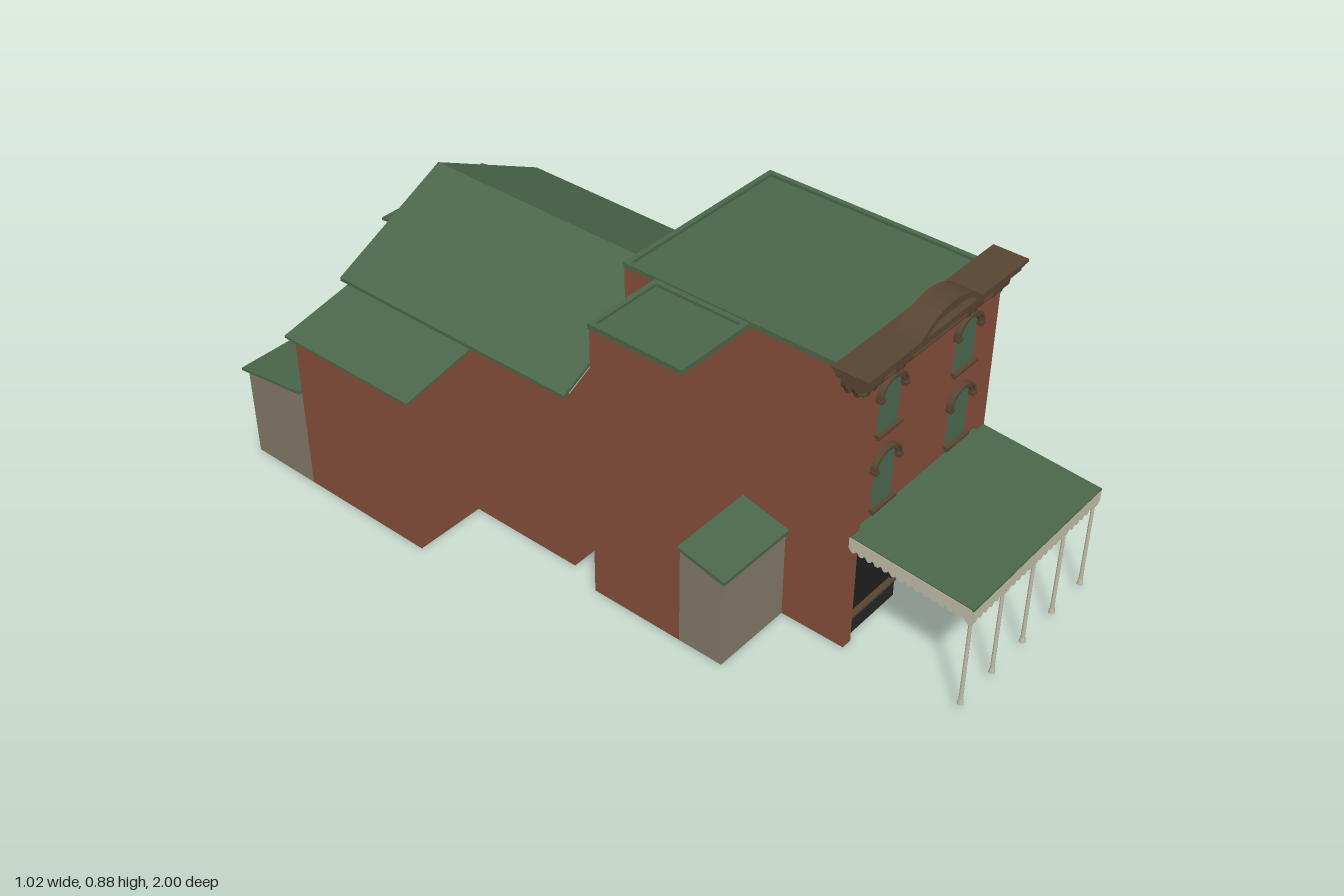
import * as THREE from 'three';

const flat = (name, color, double) => {
  const m = new THREE.MeshStandardMaterial({ color });
  m.name = name;
  if (double) m.side = THREE.DoubleSide;
  return m;
};

export function createModel() {
  const root = new THREE.Group();
  root.name = 'storefrontBuilding';
  const brick = flat('brick', 0x864f3c, true);
  const plaster = flat('plaster', 0x847b69, true);
  const green = flat('greenRoof', 0x4b674a);
  const paneGreen = flat('windowGreen', 0x4b6a50);
  const brown = flat('brownTrim', 0x594533);
  const black = flat('blackFront', 0x262626, true);
  const glass = flat('darkGlass', 0x1f1f1f, true);
  const cream = flat('cream', 0xc3bfa9);

  const add = (name, geo, mat, parent = root) => {
    const mesh = new THREE.Mesh(geo, mat);
    mesh.name = name;
    parent.add(mesh);
    return mesh;
  };
  const group = (name) => {
    const g = new THREE.Group();
    g.name = name;
    root.add(g);
    return g;
  };
  const boxGeo = (x0, x1, y0, y1, z0, z1) =>
    new THREE.BoxGeometry(x1 - x0, y1 - y0, z1 - z0).translate((x0 + x1) / 2, (y0 + y1) / 2, (z0 + z1) / 2);
  const box = (name, mat, b, parent) => add(name, boxGeo(...b), mat, parent);
  // Lifts every vertex by a height rule
  const lift = (geo, yAt) => {
    const p = geo.attributes.position;
    for (let i = 0; i < p.count; i++) p.setY(i, p.getY(i) + yAt(p.getX(i), p.getZ(i)));
    geo.computeVertexNormals();
    return geo;
  };
  const slab = (name, x0, x1, z0, z1, yAt, t = 0.01) =>
    add(name, lift(boxGeo(x0, x1, -t, 0, z0, z1), yAt), green);
  const extrude = (shape, depth, z) =>
    new THREE.ExtrudeGeometry(shape, { depth, bevelEnabled: false, curveSegments: 12 }).translate(0, 0, z);
  const ramp = (a, ya, b, yb) => (v) => ya + ((v - a) / (b - a)) * (yb - ya);

  // Open-bottomed walls; corners are [x, z, top], listed counter-clockwise from above
  const walls = (name, mat, corners, closed = true) => {
    const pos = [];
    const n = corners.length;
    for (let i = 0; i < (closed ? n : n - 1); i++) {
      const [ax, az, at] = corners[i], [bx, bz, bt] = corners[(i + 1) % n];
      pos.push(ax, 0, az, bx, 0, bz, bx, bt, bz, ax, 0, az, bx, bt, bz, ax, at, az);
    }
    const geo = new THREE.BufferGeometry();
    geo.setAttribute('position', new THREE.Float32BufferAttribute(pos, 3));
    geo.computeVertexNormals();
    add(name, geo, mat);
  };
  // Flat roof with a low rim
  const rimRoof = (name, x0, x1, z0, z1, y) => {
    const g = group(name), w = 0.014;
    box('roofDeck', green, [x0, x1, y - 0.014, y - 0.008, z0, z1], g);
    for (const b of [[x0, x1, z0, z0 + w], [x0, x1, z1 - w, z1], [x0, x0 + w, z0 + w, z1 - w], [x1 - w, x1, z0 + w, z1 - w]])
      box('roofRim', green, [b[0], b[1], y - 0.008, y, b[2], b[3]], g);
  };

  // Main block and tall side block
  walls('mainWalls', brick, [[0.465, 0.65, 0.802], [0.465, -0.02, 0.802], [-0.09, -0.02, 0.802], [-0.09, 0.65, 0.802]], false);
  rimRoof('mainRoof', -0.092, 0.467, -0.022, 0.652, 0.81);
  walls('sideTowerWalls', brick, [[-0.09, 0.35, 0.798], [-0.09, 0.08, 0.798], [-0.325, 0.08, 0.798], [-0.325, 0.35, 0.798]]);
  rimRoof('sideTowerRoof', -0.328, -0.092, 0.077, 0.353, 0.806);

  // Lean-to in front of the side tower
  const shedY = ramp(0.35, 0.305, 0.49, 0.272);
  walls('shedWalls', plaster, [[-0.09, 0.48, 0.268], [-0.09, 0.35, 0.298], [-0.325, 0.35, 0.298], [-0.325, 0.48, 0.268]]);
  slab('shedRoof', -0.335, -0.09, 0.35, 0.49, (x, z) => shedY(z));

  // Rear gabled block
  walls('gableWalls', brick, [[0.4, -0.02, 0.54], [0.4, -0.77, 0.54], [0.055, -0.77, 0.712], [-0.29, -0.77, 0.54],
    [-0.29, -0.02, 0.54], [0.055, -0.02, 0.712]]);
  const gableY = (x) => 0.723 - Math.abs(x - 0.055) * 0.486;
  slab('gableRoofLeft', 0.055, 0.42, -0.795, -0.02, gableY);
  slab('gableRoofRight', -0.31, 0.055, -0.795, -0.02, gableY);

  // Low block beside the gable
  walls('lowBlockWalls', brick, [[0.465, -0.02, 0.316], [0.465, -0.365, 0.316], [0.4, -0.365, 0.316], [0.4, -0.02, 0.316]]);
  slab('lowBlockRoof', 0.4, 0.467, -0.37, -0.02, () => 0.322, 0.006);

  // Side wing
  const wingY = ramp(-0.51, 0.474, -0.31, 0.514);
  walls('wingWalls', brick, [[-0.29, -0.36, 0.513], [-0.29, -0.77, 0.513], [-0.495, -0.77, 0.472], [-0.495, -0.36, 0.472]]);
  slab('wingRoof', -0.51, -0.29, -0.79, -0.35, (x) => wingY(x), 0.007);

  // Rear annex, tall and low parts
  const tallY = ramp(-0.77, 0.523, -1, 0.488);
  walls('tallAnnexWalls', plaster, [[0.4, -0.77, 0.518], [0.4, -0.985, 0.485], [0.025, -0.985, 0.485], [0.025, -0.77, 0.518]]);
  slab('tallAnnexRoof', 0.02, 0.407, -1, -0.77, (x, z) => tallY(z), 0.008);
  const lowY = ramp(-0.77, 0.303, -1, 0.272);
  walls('lowAnnexWalls', plaster, [[0.025, -0.77, 0.298], [0.025, -0.985, 0.27], [-0.495, -0.985, 0.27], [-0.495, -0.77, 0.298]]);
  slab('lowAnnexRoof', -0.505, 0.025, -1, -0.77, (x, z) => lowY(z), 0.008);

  // Front wall with the shop opening, and corner pilasters
  const front = new THREE.Shape([[-0.09, 0], [-0.06, 0], [-0.06, 0.285], [0.435, 0.285], [0.435, 0], [0.465, 0],
    [0.465, 0.8], [-0.09, 0.8]].map((p) => new THREE.Vector2(...p)));
  add('frontWall', extrude(front, 0.01, 0.645), brick);
  for (const x of [-0.09, 0.435]) box('pilaster', brick, [x, x + 0.03, 0, 0.757, 0.645, 0.665]);

  // Shop front: display bays either side of a recessed double door
  const shop = group('shopFront');
  for (const [a, b] of [[-0.06, 0.135], [0.24, 0.435]]) {
    box('displayGlass', glass, [a, b, 0.06, 0.285, 0.638, 0.643], shop);
    box('bulkhead', black, [a, b, 0, 0.058, 0.635, 0.65], shop);
    box('displaySill', brown, [a, b, 0.058, 0.065, 0.635, 0.658], shop);
    box('displayHead', black, [a, b, 0.255, 0.285, 0.638, 0.65], shop);
    for (const x of [a, b - 0.01]) box('displayPost', black, [x, x + 0.01, 0.065, 0.255, 0.638, 0.65], shop);
    for (let i = 0; i < 2; i++) {
      const x = a + 0.012 + i * 0.09;
      box('bulkheadPanel', black, [x, x + 0.08, 0.012, 0.048, 0.65, 0.654], shop);
    }
  }
  for (const x of [0.135, 0.235]) box('doorReturn', black, [x, x + 0.005, 0, 0.285, 0.6, 0.65], shop);
  box('doorBack', black, [0.135, 0.24, 0, 0.285, 0.595, 0.6], shop);
  for (const x of [0.147, 0.191]) {
    box('doorGlass', glass, [x + 0.005, x + 0.032, 0.08, 0.225, 0.6, 0.604], shop);
    box('doorPanel', black, [x + 0.005, x + 0.032, 0.015, 0.065, 0.6, 0.606], shop);
  }
  box('doorTransom', black, [0.14, 0.235, 0.235, 0.245, 0.6, 0.61], shop);

  // Arched windows with hoods and footed sills
  const makeWindow = (cx, sill, spring) => {
    const g = group('archedWindow');
    const pane = new THREE.Shape();
    pane.moveTo(-0.038, sill);
    pane.lineTo(0.038, sill);
    pane.lineTo(0.038, spring);
    pane.absellipse(0, spring, 0.038, 0.026, 0, Math.PI, false);
    pane.lineTo(-0.038, sill);
    add('windowPane', extrude(pane, 0.004, 0.655), paneGreen, g);
    const arch = (name, ro, ry, ri, riy, leg, depth) => {
      const s = new THREE.Shape();
      s.moveTo(ro, spring - leg);
      s.lineTo(ro, spring);
      s.absellipse(0, spring, ro, ry, 0, Math.PI, false);
      s.lineTo(-ro, spring - leg);
      s.lineTo(-ri, spring - leg);
      s.lineTo(-ri, spring);
      s.absellipse(0, spring, ri, riy, Math.PI, 0, true);
      s.lineTo(ri, spring - leg);
      add(name, extrude(s, depth, 0.655), brown, g);
    };
    arch('hood', 0.05, 0.036, 0.038, 0.026, 0.014, 0.012);
    arch('hoodMoulding', 0.053, 0.041, 0.046, 0.034, 0.008, 0.017);
    for (const s of [-1, 1]) {
      const x = s * 0.047;
      box('hoodStop', brown, [x - 0.008, x + 0.008, spring - 0.014, spring - 0.004, 0.655, 0.673], g);
      box('sillFoot', brown, [s * 0.038 - 0.003, s * 0.038 + 0.003, sill - 0.018, sill - 0.007, 0.655, 0.664], g);
    }
    box('windowSill', brown, [-0.046, 0.046, sill - 0.008, sill, 0.655, 0.67], g);
    g.position.x = cx;
  };
  for (const x of [0.034, 0.342]) {
    makeWindow(x, 0.376, 0.5);
    makeWindow(x, 0.594, 0.704);
  }

  // Cornice with stepped mouldings and scrolled brackets
  const cornice = group('cornice');
  box('frieze', brown, [-0.094, 0.469, 0.755, 0.8, 0.62, 0.668], cornice);
  box('friezeBand', brown, [-0.097, 0.472, 0.755, 0.76, 0.62, 0.672], cornice);
  box('bedMoulding', brown, [-0.112, 0.487, 0.792, 0.799, 0.615, 0.683], cornice);
  box('corona', brown, [-0.122, 0.497, 0.799, 0.812, 0.612, 0.695], cornice);
  box('crown', brown, [-0.132, 0.507, 0.822, 0.83, 0.608, 0.706], cornice);
  box('crownCove', brown, [-0.127, 0.502, 0.812, 0.822, 0.61, 0.7], cornice);
  // Bracket side outline: depth outward, height
  const scroll = () => {
    const s = new THREE.Shape();
    s.moveTo(0, 0.795);
    s.lineTo(0, 0.75);
    s.lineTo(0.008, 0.75);
    s.quadraticCurveTo(0.011, 0.766, 0.02, 0.772);
    s.quadraticCurveTo(0.027, 0.778, 0.026, 0.795);
    return new THREE.ExtrudeGeometry(scrollWidth(s), { depth: 0.012, bevelEnabled: false, curveSegments: 5 }).translate(0, 0, -0.006);
  };
  const scrollWidth = (s) => s;
  for (const x of [-0.078, -0.052, 0.033, 0.055, 0.32, 0.342, 0.427, 0.453])
    add('frontBracket', scroll().rotateY(-Math.PI / 2).translate(x, 0, 0.664), brown, cornice);
  for (const z of [0.63, 0.655]) {
    add('leftEndBracket', scroll().translate(0.467, 0, z), brown, cornice);
    add('rightEndBracket', scroll().rotateY(Math.PI).translate(-0.092, 0, z), brown, cornice);
  }

  // Segmental pediment above the cornice
  const segment = (half, rise) => {
    const r = (half * half + rise * rise) / (2 * rise), a = Math.asin(half / r);
    const s = new THREE.Shape();
    s.absarc(0.1875, 0.828 + rise - r, r, Math.PI / 2 - a, Math.PI / 2 + a, false);
    return s;
  };
  const rim = segment(0.125, 0.05), inner = segment(0.104, 0.037);
  const rimPts = rim.getPoints(24), innerPts = inner.getPoints(24).reverse();
  add('pedimentPanel', extrude(segment(0.12, 0.046), 0.05, 0.638), brown, cornice);
  add('pedimentRim', extrude(new THREE.Shape([...rimPts, ...innerPts]), 0.07, 0.636), brown, cornice);
  const bead = [...segment(0.115, 0.043).getPoints(24), ...innerPts];
  add('pedimentBead', extrude(new THREE.Shape(bead), 0.06, 0.64), brown, cornice);

  // Porch awning with a scalloped valance on three sides
  const awnY = ramp(0.655, 0.35, 1, 0.324);
  slab('awningRoof', -0.09, 0.465, 0.655, 1, (x, z) => awnY(z), 0.006);
  const valance = (length, count) => {
    const s = new THREE.Shape(), step = length / count;
    s.moveTo(0, 0);
    s.lineTo(0, -0.032);
    for (let i = 0; i < count; i++) {
      s.quadraticCurveTo((i + 0.5) * step, -0.05, (i + 0.85) * step, -0.034);
      s.lineTo((i + 1) * step, -0.032);
    }
    s.lineTo(length, 0);
    return new THREE.ExtrudeGeometry(s, { depth: 0.006, bevelEnabled: false, curveSegments: 4 });
  };
  add('frontValance', valance(0.555, 24).translate(-0.09, 0.32, 0.994), cream);
  for (const x of [-0.091, 0.46])
    add('sideValance', lift(valance(0.335, 15).rotateY(Math.PI / 2).translate(x, -0.003, 0.995), (_, z) => awnY(z)), cream);

  // Porch posts
  for (let i = 0; i < 5; i++) {
    const g = group('porchPost');
    add('postShaft', new THREE.CylinderGeometry(0.0045, 0.0055, 0.28, 8).translate(0, 0.17, 0), cream, g);
    add('postBase', new THREE.CylinderGeometry(0.0065, 0.0085, 0.014, 8).translate(0, 0.027, 0), cream, g);
    box('postCap', cream, [-0.007, 0.007, 0.272, 0.29, -0.006, 0.006], g);
    g.position.set(-0.08 + i * 0.1337, 0, 0.99);
  }
  return root;
}
